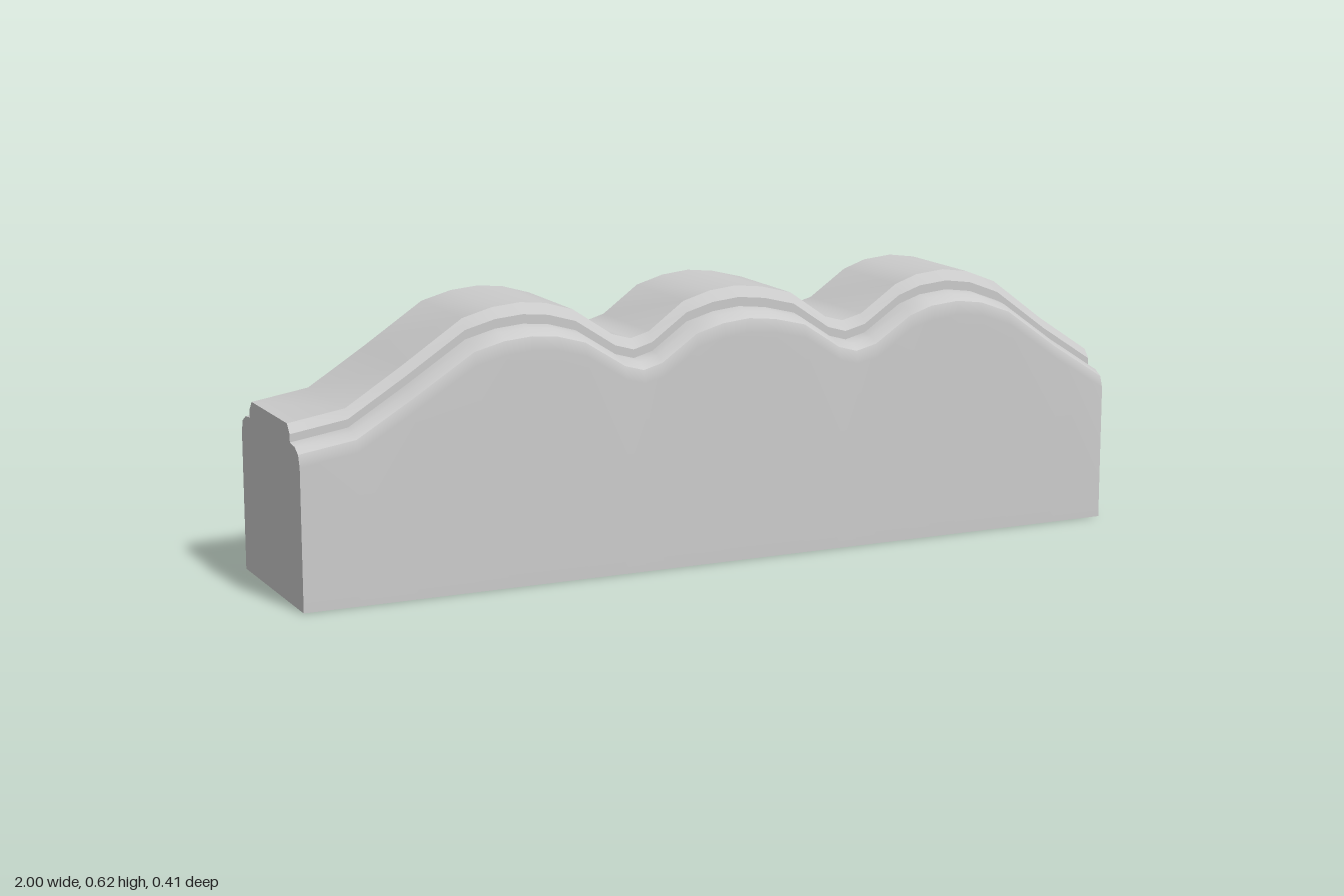
import * as THREE from 'three';

// Wavy top line along the length: [x, height]
const crest = [
  [-1, 0.397], [-0.87, 0.418], [-0.74, 0.5], [-0.6, 0.593], [-0.53, 0.612], [-0.465, 0.618], [-0.405, 0.612],
  [-0.34, 0.593], [-0.245, 0.53], [-0.2, 0.517], [-0.155, 0.53], [-0.07, 0.592], [-0.005, 0.611], [0.06, 0.618],
  [0.125, 0.611], [0.2, 0.592], [0.29, 0.53], [0.335, 0.517], [0.385, 0.53], [0.475, 0.592], [0.53, 0.611],
  [0.6, 0.618], [0.665, 0.609], [0.74, 0.58], [0.87, 0.483], [1, 0.397],
];

// Half moulding section: [z, drop below the crest], from the top outwards
const half = [[0.125, 0], [0.142, 0.024], [0.142, 0.045], [0.174, 0.049], [0.196, 0.064], [0.205, 0.095]];

// Smooth bands of the section: [name, first corner, last corner]
const bands = [
  ['frontFace', 0, 2], ['frontLedge', 2, 4], ['frontStep', 4, 5], ['frontCrestBevel', 5, 6], ['crestTop', 6, 7],
  ['backCrestBevel', 7, 8], ['backStep', 8, 9], ['backLedge', 9, 11], ['backFace', 11, 13], ['base', 13, 14],
];

// Cross-section at one station, front foot -> over the top -> back foot -> front foot
function section([x, h]) {
  const k = 0.85 + 0.15 * (h - 0.4) / 0.22;
  const front = half.map(([z, d]) => [x, h - d * k, z]);
  const back = front.map(([px, y, z]) => [px, y, -z]);
  const foot = [x, 0, 0.205];
  return [foot, ...front.reverse(), ...back, [x, 0, -0.205], foot];
}

function mesh(name, positions, index, material) {
  const geo = new THREE.BufferGeometry();
  geo.setAttribute('position', new THREE.Float32BufferAttribute(positions.flat(), 3));
  geo.setIndex(index);
  geo.computeVertexNormals();
  const m = new THREE.Mesh(geo, material);
  m.name = name;
  return m;
}

export function createModel() {
  const group = new THREE.Group();
  group.name = 'wavyMoulding';
  const material = new THREE.MeshStandardMaterial({ color: 0xcccccc });
  const rings = crest.map(section);

  // Each band is smooth in itself and meets its neighbours at a sharp edge
  for (const [name, first, last] of bands) {
    const w = last - first + 1, positions = [], index = [];
    rings.forEach((ring, i) => {
      positions.push(...ring.slice(first, last + 1));
      if (i === 0) return;
      for (let j = 0; j < w - 1; j++) {
        const a = (i - 1) * w + j, c = a + w;
        index.push(a, c, a + 1, a + 1, c, c + 1);
      }
    });
    group.add(mesh(name, positions, index, material));
  }

  // Flat ends, fanned from a point inside the section
  [['rightEnd', rings[0], false], ['leftEnd', rings[rings.length - 1], true]].forEach(([name, ring, isLeft]) => {
    const positions = [[ring[0][0], 0.2, 0], ...ring], index = [];
    for (let j = 1; j < ring.length; j++) index.push(0, ...(isLeft ? [j + 1, j] : [j, j + 1]));
    group.add(mesh(name, positions, index, material));
  });
  return group;
}
